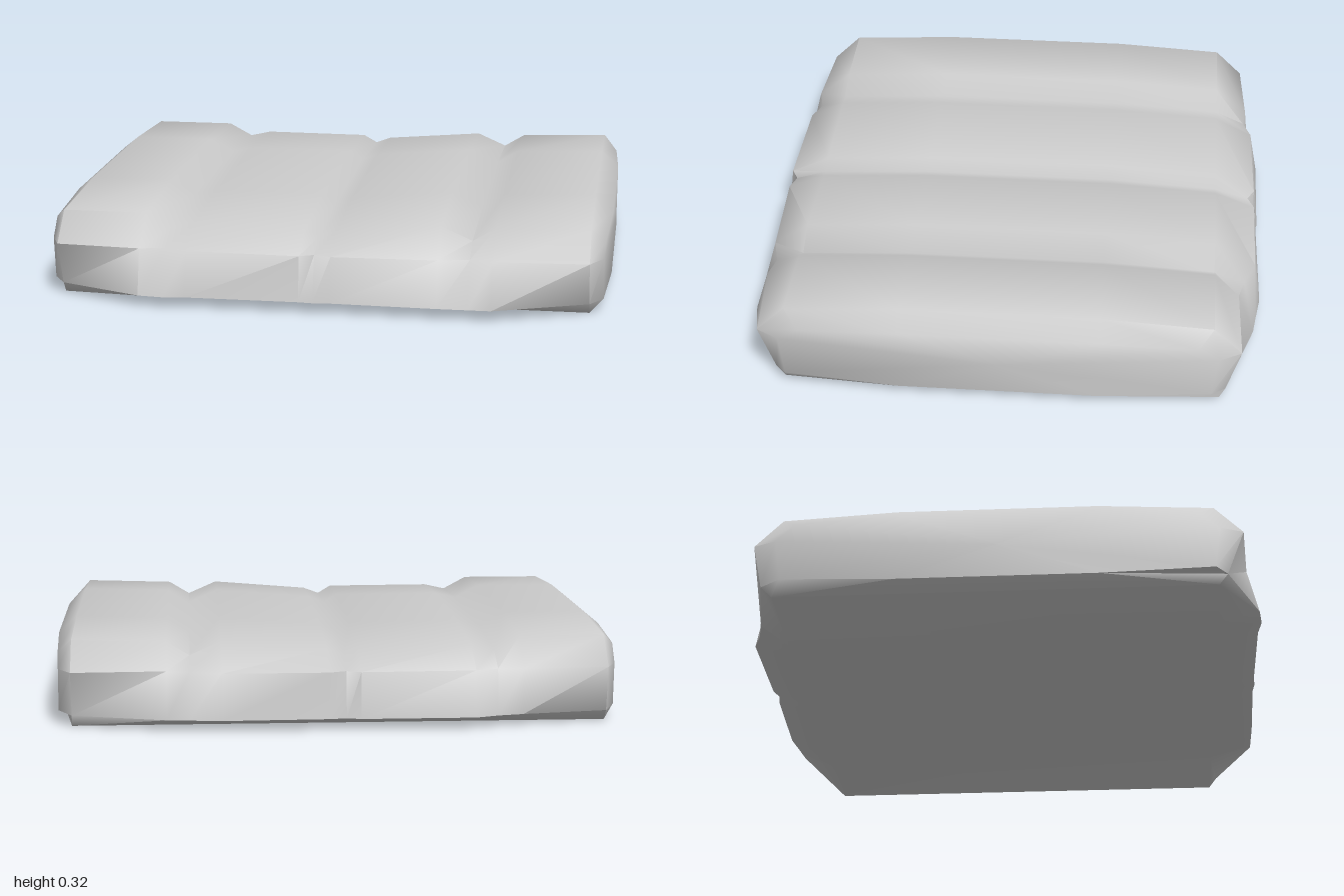
import * as THREE from 'three';
import { toCreasedNormals } from 'three/addons/utils/BufferGeometryUtils.js';

// Stations across the slab: x, top height, front shoulder z, front foot z, back shoulder z, back foot z
const stations = [
  [-0.94, 0.32, 0.85, 0.79, 0.85, 0.82],
  [-0.64, 0.32, 0.87, 0.91, 0.87, 0.87],
  [-0.55, 0.272, 0.85, 0.92, 0.86, 0.89],
  [-0.47, 0.29, 0.88, 0.91, 0.89, 0.92],
  [-0.07, 0.288, 0.89, 0.91, 0.9, 0.92],
  [-0.02, 0.258, 0.865, 0.915, 0.875, 0.905],
  [0.04, 0.28, 0.885, 0.91, 0.9, 0.915],
  [0.41, 0.31, 0.875, 0.92, 0.9, 0.925],
  [0.52, 0.262, 0.85, 0.92, 0.86, 0.91],
  [0.6, 0.31, 0.87, 0.92, 0.84, 0.9],
  [0.93, 0.32, 0.85, 0.79, 0.85, 0.8],
];

// Closed cross-section, running over the top, down the front and back underneath
function section([x, top, fU, fL, bU, bL]) {
  return [
    [-bU, 0.2], [-0.75, top - 0.022], [-0.35, top], [0.35, top], [0.75, top - 0.022],
    [fU, 0.2], [fL, 0.04], [0.76, 0], [-0.78, 0], [-bL, 0.04],
  ].map(([z, y]) => [x, y, z]);
}

// Narrower section closing each side, bowed outwards in the middle
function endSection(side, top) {
  return [
    [-0.77, 0.2], [-0.7, top - 0.015], [-0.35, top], [0.35, top], [0.7, top - 0.015],
    [0.77, 0.2], [0.75, 0.05], [0.35, 0.03], [-0.35, 0.03], [-0.75, 0.05],
  ].map(([z, y]) => [side * (1 - 0.04 * z * z), y, z]);
}

function slabGeometry() {
  const rings = [endSection(-1, 0.275), ...stations.map(section), endSection(1, 0.26)];
  const n = rings[0].length;
  const positions = rings.flat(2);
  const index = [];
  for (let i = 0; i < rings.length - 1; i++) {
    for (let j = 0; j < n; j++) {
      const k = (j + 1) % n;
      const a = i * n + j, b = (i + 1) * n + j, c = i * n + k, d = (i + 1) * n + k;
      index.push(a, c, b, b, c, d);
    }
  }
  // Side caps fan out from a centre point
  const centre = rings.length * n;
  positions.push(-1, 0.15, 0, 1, 0.15, 0);
  const last = (rings.length - 1) * n;
  for (let j = 0; j < n; j++) {
    const k = (j + 1) % n;
    index.push(centre, k, j, centre + 1, last + j, last + k);
  }
  const geometry = new THREE.BufferGeometry();
  geometry.setAttribute('position', new THREE.Float32BufferAttribute(positions, 3));
  geometry.setIndex(index);
  return toCreasedNormals(geometry, 1.0);
}

export function createModel() {
  const group = new THREE.Group();
  group.name = 'plankSlab';
  const slab = new THREE.Mesh(slabGeometry(), new THREE.MeshStandardMaterial({ color: 0xcccccc }));
  slab.name = 'groovedSlab';
  group.add(slab);
  return group;
}
